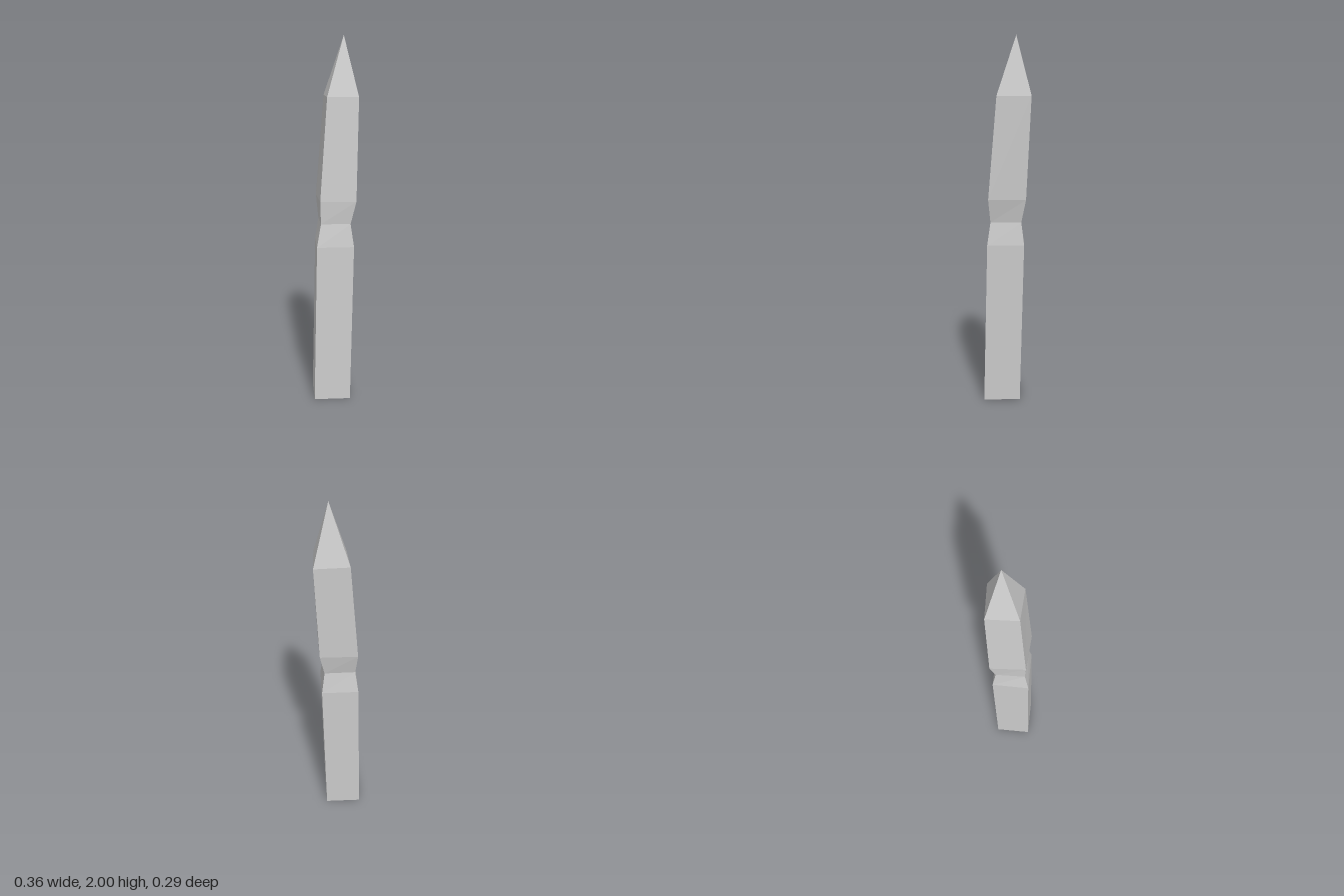
import * as THREE from 'three';

// Four-sided sections from the ground up: height, right corner x, left corner x, ridge x, half depth
const sections = [
  { y: 0.0, x0: -0.18, x1: 0.10, mid: -0.04, z: 0.142 },
  { y: 0.885, x0: -0.153, x1: 0.13, mid: -0.011, z: 0.142 },
  { y: 1.01, x0: -0.12, x1: 0.108, mid: -0.011, z: 0.117 },
  { y: 1.135, x0: -0.125, x1: 0.143, mid: 0.002, z: 0.146 },
  { y: 1.685, x0: -0.067, x1: 0.18, mid: 0.045, z: 0.124 },
];
const tip = [0.067, 2, 0];

const corners = ({ y, x0, x1, mid, z }) => [[mid, y, z], [x1, y, 0], [mid, y, -z], [x0, y, 0]];

function surface(name, triangles, material) {
  const geometry = new THREE.BufferGeometry();
  geometry.setAttribute('position', new THREE.Float32BufferAttribute(triangles.flat(2), 3));
  geometry.computeVertexNormals();
  const mesh = new THREE.Mesh(geometry, material);
  mesh.name = name;
  return mesh;
}

export function createModel() {
  const group = new THREE.Group();
  group.name = 'pointedStake';
  const material = new THREE.MeshStandardMaterial({ color: 0xcccccc, flatShading: true });
  const rings = sections.map(corners);

  // Leaning shaft with a notched waist, closed underneath
  const [p, q, r, s] = rings[0];
  const shaft = [[p, r, q], [p, s, r]];
  for (let k = 0; k < rings.length - 1; k++) {
    for (let i = 0; i < 4; i++) {
      const j = (i + 1) % 4;
      const [a, b, c, d] = [rings[k][i], rings[k][j], rings[k + 1][j], rings[k + 1][i]];
      shaft.push([a, b, c], [a, c, d]);
    }
  }
  group.add(surface('shaft', shaft, material));

  // Sharpened point
  const top = rings[rings.length - 1];
  group.add(surface('point', top.map((a, i) => [a, top[(i + 1) % 4], tip]), material));

  return group;
}
